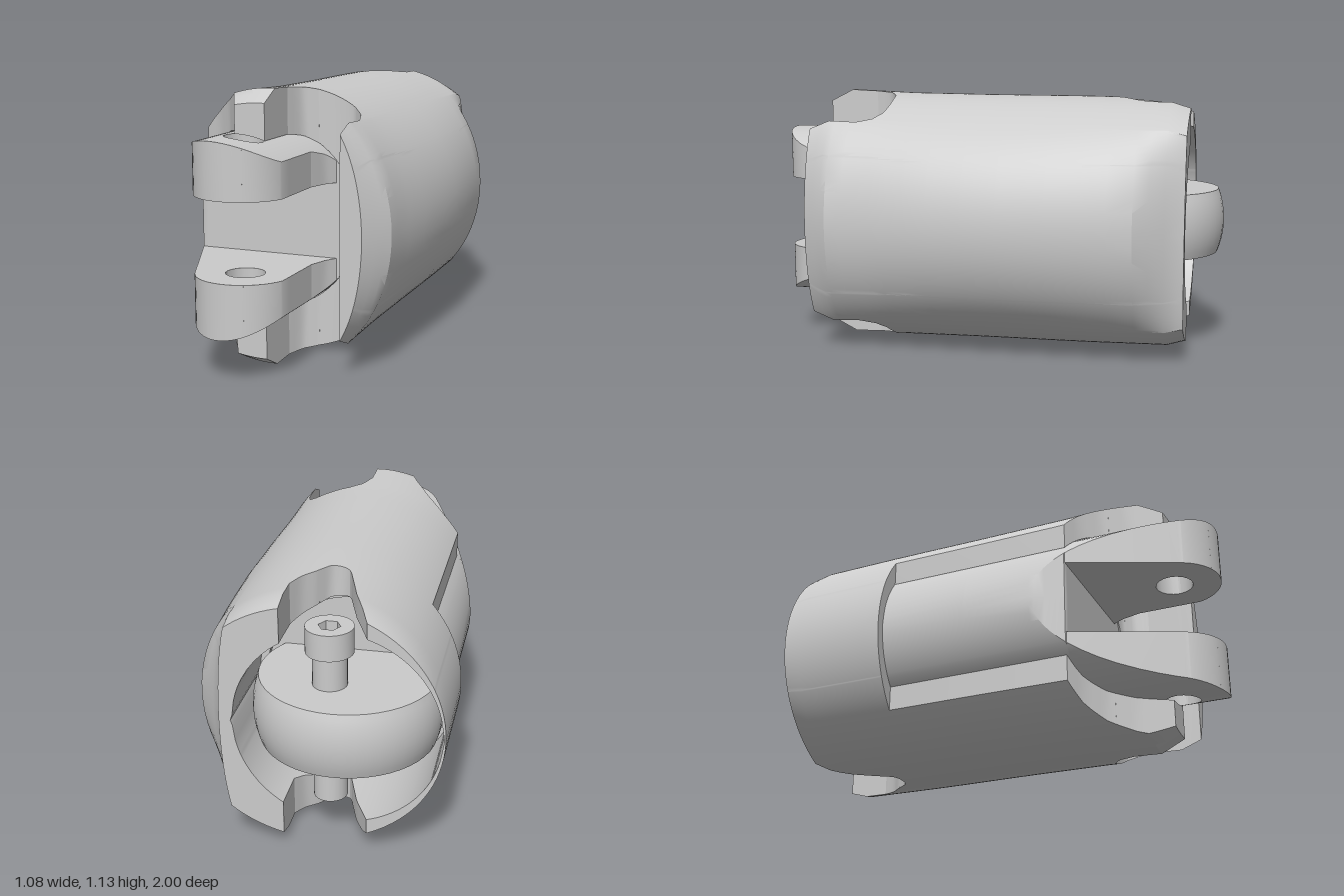
import * as THREE from 'three';
import { toCreasedNormals } from 'three/addons/utils/BufferGeometryUtils.js';

const MID = 0.567;   // height of the mirror plane
const CX = -0.11;    // axis of the bore and core
const R = 0.388;     // core radius
const material = new THREE.MeshStandardMaterial({ color: 0xcccccc, side: THREE.DoubleSide });

// Piecewise linear lookup; a repeated x makes a step.
function lerp(points, x) {
  if (x <= points[0][0]) return points[0][1];
  for (let i = 1; i < points.length; i++) {
    const [x0, a] = points[i - 1], [x1, b] = points[i];
    if (x <= x1 && x1 > x0) return a + (b - a) * (x - x0) / (x1 - x0);
  }
  return points[points.length - 1][1];
}

const arch = (r, x) => Math.sqrt(Math.max(0, r * r - (x - CX) ** 2));

// Solid over a plan area: x strips between breaks, z from back(x) to front(x),
// height from low(x, z) to high(x, z), repeated below the mirror plane.
function planSolid(name, breaks, levels, back, front, low, high, mapX = (x) => x) {
  const pos = [];
  const quad = (a, b, c, d) => {
    for (const p of [a, b, c, a, c, d]) pos.push(p[0], MID + p[1], p[2]);
    const [e, f, g, h] = [a, b, c, d].map((p) => [p[0], -p[1], p[2]]);
    for (const p of [e, g, f, e, h, g]) pos.push(p[0], MID + p[1], p[2]);
  };
  for (let s = 0; s + 1 < breaks.length; s++) {
    const x0 = breaks[s], x1 = breaks[s + 1], n = 9;
    const top = [], bottom = [];
    for (let i = 0; i <= n; i++) {
      const x = x0 + (x1 - x0) * (1 - Math.cos(Math.PI * i / n)) / 2;
      const inside = Math.min(Math.max(x, x0 + 1e-4), x1 - 1e-4);
      const zb = back(inside), zf = Math.max(zb, front(inside));
      top.push([]);
      bottom.push([]);
      for (const level of levels) {
        const z = Math.min(Math.max(level, zb), zf), X = mapX(x, z);
        const h = high(x, z);
        top[i].push([X, h, z]);
        bottom[i].push([X, Math.min(low(X, z), h), z]);
      }
    }
    const m = levels.length - 1;
    for (let i = 0; i < n; i++) {
      for (let j = 0; j < m; j++) {
        quad(top[i][j], top[i][j + 1], top[i + 1][j + 1], top[i + 1][j]);
        quad(bottom[i][j], bottom[i + 1][j], bottom[i + 1][j + 1], bottom[i][j + 1]);
      }
      quad(top[i][m], bottom[i][m], bottom[i + 1][m], top[i + 1][m]);
      quad(top[i][0], top[i + 1][0], bottom[i + 1][0], bottom[i][0]);
    }
    for (let j = 0; j < m; j++) {
      quad(top[0][j], bottom[0][j], bottom[0][j + 1], top[0][j + 1]);
      quad(top[n][j], top[n][j + 1], bottom[n][j + 1], bottom[n][j]);
    }
  }
  const geometry = new THREE.BufferGeometry();
  geometry.setAttribute('position', new THREE.Float32BufferAttribute(pos, 3));
  return part(name, toCreasedNormals(geometry, 0.5));
}

function part(name, geometry, x = 0, y = 0, z = 0) {
  const mesh = new THREE.Mesh(geometry, material);
  mesh.name = name;
  mesh.position.set(x, y, z);
  return mesh;
}

// Outer sleeve with pin notches, front tabs and a side lip
function makeShell() {
  const front = [[-0.54, -0.38], [-0.41, -0.38], [-0.41, 0.43], [-0.33, 0.47], [-0.25, 0.54],
    [-0.18, 0.64], [-0.11, 0.78], [0.02, 0.78], [0.02, 0.56], [0.05, 0.48], [0.11, 0.445],
    [0.2, 0.44], [0.27, 0.45], [0.31, 0.49], [0.33, 0.56], [0.33, 0.77], [0.53, 0.77]];
  const back = [[-0.54, -0.85], [-0.23, -0.85], [-0.16, -0.7], [-0.1, -0.52], [-0.07, -0.5],
    [-0.02, -0.5], [0.03, -0.57], [0.08, -0.62], [0.11, -0.68], [0.11, -0.86], [0.53, -0.86]];
  const halfHeight = [[-0.86, 0.515], [-0.78, 0.54], [-0.4, 0.547], [0, 0.548], [0.4, 0.553],
    [0.68, 0.565], [0.78, 0.515]];
  const sideReach = [[-0.86, 0.365], [-0.83, 0.375], [-0.66, 0.5], [-0.4, 0.525], [-0.1, 0.54],
    [0.2, 0.53], [0.5, 0.505], [0.65, 0.5], [0.77, 0.42]];
  const levels = [-0.86, -0.83, -0.78, -0.72, -0.66, -0.55, -0.45, -0.449, -0.3, -0.1, 0.05,
    0.2, 0.3, 0.4, 0.45, 0.5, 0.58, 0.65, 0.68, 0.72, 0.78];
  return planSolid('outerShell',
    [-0.54, -0.49, -0.41, -0.23, -0.11, 0.02, 0.11, 0.28, 0.33, 0.45, 0.53], levels,
    (x) => lerp(back, x), (x) => lerp(front, x),
    (x, z) => arch(z < -0.4495 ? 0.42 : 0.39, x),
    (x, z) => lerp(halfHeight, z) * Math.sqrt(Math.max(0, 1 - (x / (x < 0 ? 0.54 : 0.53)) ** 2)),
    (x, z) => (x <= 0.33 ? x : 0.33 + (x - 0.33) * (lerp(sideReach, z) - 0.33) / 0.2));
}

// Fork lugs: plan outline of a tapered arm with a round, drilled end
const HOLE = { x: -0.06, z: 0.8, r: 0.08 };
const round = (r, x) => Math.sqrt(Math.max(0, r * r - (x - HOLE.x) ** 2));
function lugFront(x) {
  if (x < -0.24) return 0.3 + (x + 0.5) * 0.59 / 0.26;
  if (x < 0.13) return HOLE.z + round(0.2, x);
  return lerp([[0.13, 0.58], [0.155, 0.49], [0.185, 0.44]], x);
}

export function createModel() {
  const model = new THREE.Group();
  model.name = 'jointSegment';
  model.add(makeShell());

  // Round core inside the shell
  model.add(planSolid('core', [CX - R, -0.44, -0.2, 0, 0.185, CX + R], [-0.42, 0, 0.3, 0.44],
    () => -0.42, (x) => Math.min(0.44, lugFront(Math.min(x, 0.185))),
    () => 0, (x) => arch(R, x)));

  // Two fork lugs, each split around its pin hole
  const lug = (name, breaks, back, front) => model.add(planSolid(name, breaks,
    [0.44, 0.5, 0.6, 0.7, 0.8, 0.9, 1], back, front, () => 0.16, (x) => arch(R, x)));
  const { x: hx, z: hz, r: hr } = HOLE;
  lug('lugOuterSide', [-0.438, -0.24, hx - hr], () => 0.44, lugFront);
  lug('lugBehindHole', [hx - hr, hx + hr], () => 0.44, (x) => hz - round(hr, x));
  lug('lugTip', [hx - hr, hx + hr], (x) => hz + round(hr, x), lugFront);
  lug('lugInnerSide', [hx + hr, 0.13, 0.185], () => 0.44, lugFront);

  // Ball tongue at the back, flat above and below
  const profile = [new THREE.Vector2(0, -0.14)];
  const tilt = Math.asin(0.14 / 0.39);
  for (let i = 0; i <= 10; i++) {
    const a = -tilt + 2 * tilt * i / 10;
    profile.push(new THREE.Vector2(0.39 * Math.cos(a), 0.39 * Math.sin(a)));
  }
  profile.push(new THREE.Vector2(0, 0.14));
  const ball = toCreasedNormals(new THREE.LatheGeometry(profile, 48), 0.5);
  model.add(part('ballTongue', ball, CX, MID, -0.61));

  // Pin with a hex socket head
  const pin = new THREE.Group();
  pin.name = 'hingePin';
  pin.position.set(-0.06, 0, -0.735);
  pin.add(part('pinShaft', new THREE.CylinderGeometry(0.07, 0.07, 0.66, 28), 0, 0.53, 0));
  const head = new THREE.Shape().absarc(0, 0, 0.097, 0, Math.PI * 2);
  const socket = new THREE.Path();
  for (let i = 0; i < 6; i++) {
    const a = -i * Math.PI / 3;
    socket[i ? 'lineTo' : 'moveTo'](0.045 * Math.cos(a), 0.045 * Math.sin(a));
  }
  socket.closePath();
  head.holes.push(socket);
  const headGeometry = new THREE.ExtrudeGeometry(head, { depth: 0.11, bevelEnabled: false, curveSegments: 28 });
  headGeometry.rotateX(-Math.PI / 2);
  pin.add(part('pinHead', toCreasedNormals(headGeometry, 0.5), 0, 0.85, 0));
  model.add(pin);
  return model;
}
